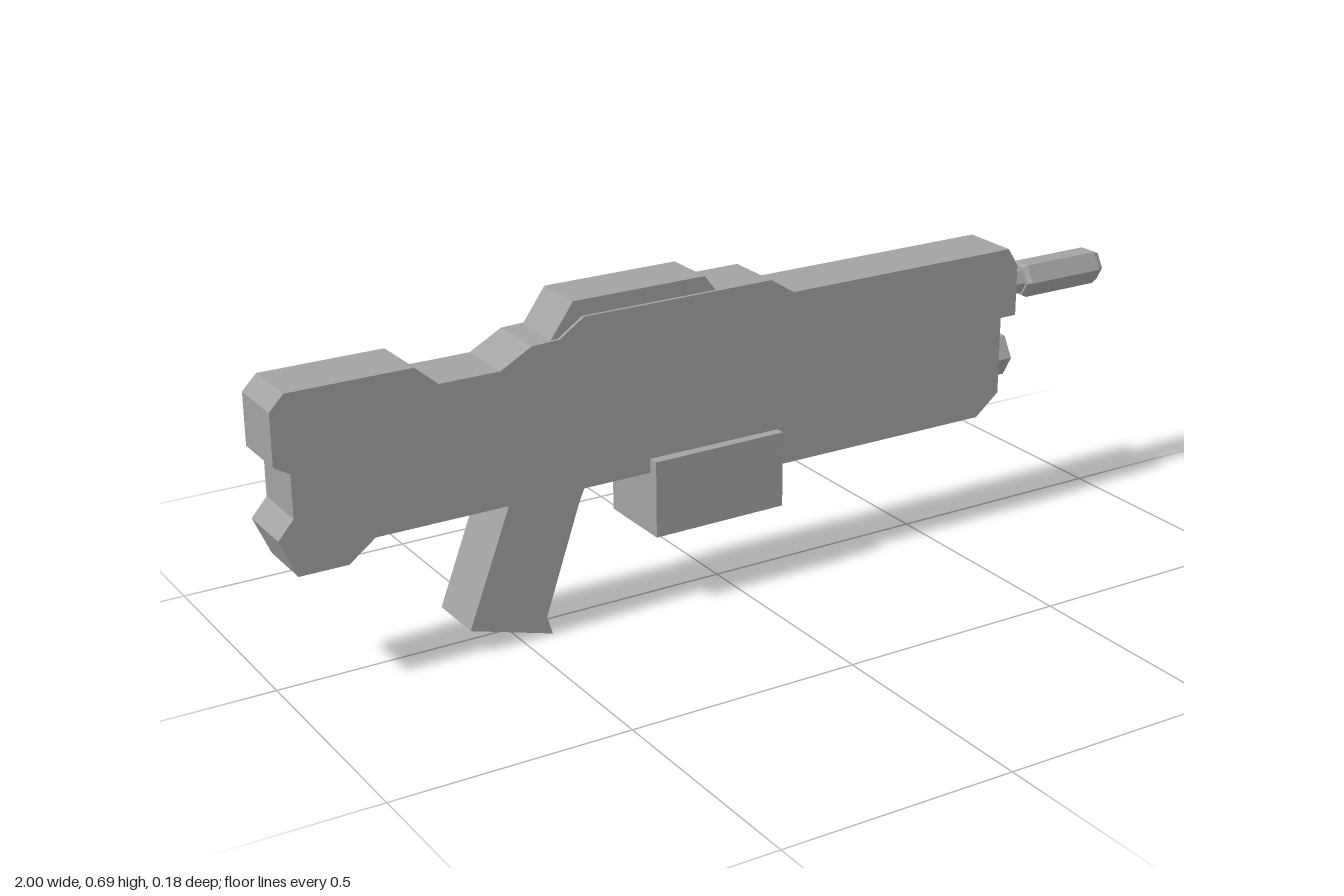
import * as THREE from 'three';

const grey = new THREE.MeshStandardMaterial({ color: 0xa2a2a2 });

function addPart(group, name, geometry) {
  const flat = geometry.index ? geometry.toNonIndexed() : geometry;
  flat.computeVertexNormals();
  const mesh = new THREE.Mesh(flat, grey);
  mesh.name = name;
  group.add(mesh);
  return mesh;
}

// Side outline in x and y, given thickness centred on z = 0
function slab(points, halfWidth) {
  const shape = new THREE.Shape(points.map(([x, y]) => new THREE.Vector2(x, y)));
  return new THREE.ExtrudeGeometry(shape, { depth: halfWidth * 2, bevelEnabled: false })
    .translate(0, 0, -halfWidth);
}

// Six-sided turned part along x, from [radius, x] pairs
function hexTurned(profile, y) {
  const points = profile.map(([r, x]) => new THREE.Vector2(r, x));
  return new THREE.LatheGeometry(points, 6).rotateZ(-Math.PI / 2).translate(0, y, 0);
}

export function createModel() {
  const group = new THREE.Group();
  group.name = 'toyBlaster';

  // Main body with notched stock end and stepped nose
  addPart(group, 'body', slab([
    [-1, 0.593], [-1, 0.485], [-0.967, 0.465], [-0.967, 0.375], [-1, 0.337],
    [-0.965, 0.257], [-0.862, 0.257], [-0.805, 0.3], [-0.1, 0.3], [-0.05, 0.25],
    [0.633, 0.25], [0.69, 0.297], [0.69, 0.47], [0.73, 0.47], [0.73, 0.583],
    [0.705, 0.624], [0.145, 0.624], [0.09, 0.659], [-0.345, 0.659], [-0.4, 0.622],
    [-0.46, 0.62], [-0.53, 0.582], [-0.66, 0.582], [-0.71, 0.624], [-0.97, 0.624],
  ], 0.065));

  // Raised top rail, slightly narrower than the body
  addPart(group, 'topRail', slab([
    [-0.42, 0.615], [-0.03, 0.64], [-0.04, 0.659], [-0.065, 0.692], [-0.365, 0.692],
  ], 0.058));

  // Raked grip with a flared toe
  addPart(group, 'grip', slab([
    [-0.51, 0.33], [-0.615, 0.053], [-0.432, 0], [-0.444, 0.04], [-0.345, 0.33],
  ], 0.065));

  // Trigger
  addPart(group, 'trigger', slab([
    [-0.37, 0.31], [-0.392, 0.212], [-0.354, 0.222], [-0.32, 0.3], [-0.32, 0.31],
  ], 0.022));

  // Box magazine, a touch narrower towards the nose
  const magazine = new THREE.BoxGeometry(0.308, 0.165, 0.177);
  const pos = magazine.attributes.position;
  for (let i = 0; i < pos.count; i++) {
    if (pos.getX(i) > 0) pos.setZ(i, pos.getZ(i) * 0.965);
  }
  addPart(group, 'magazine', magazine.translate(-0.046, 0.248, 0));

  // Barrel: thin neck and chamfered hexagonal muzzle
  addPart(group, 'barrel', hexTurned([
    [0, 0.7], [0.03, 0.7], [0.03, 0.785], [0.036, 0.785], [0.042, 0.795],
    [0.042, 0.985], [0.035, 1], [0, 1],
  ], 0.524));

  // Short hexagonal lug under the barrel
  addPart(group, 'lowerLug', hexTurned([[0, 0.67], [0.052, 0.67], [0.052, 0.735], [0, 0.735]], 0.365));

  return group;
}
